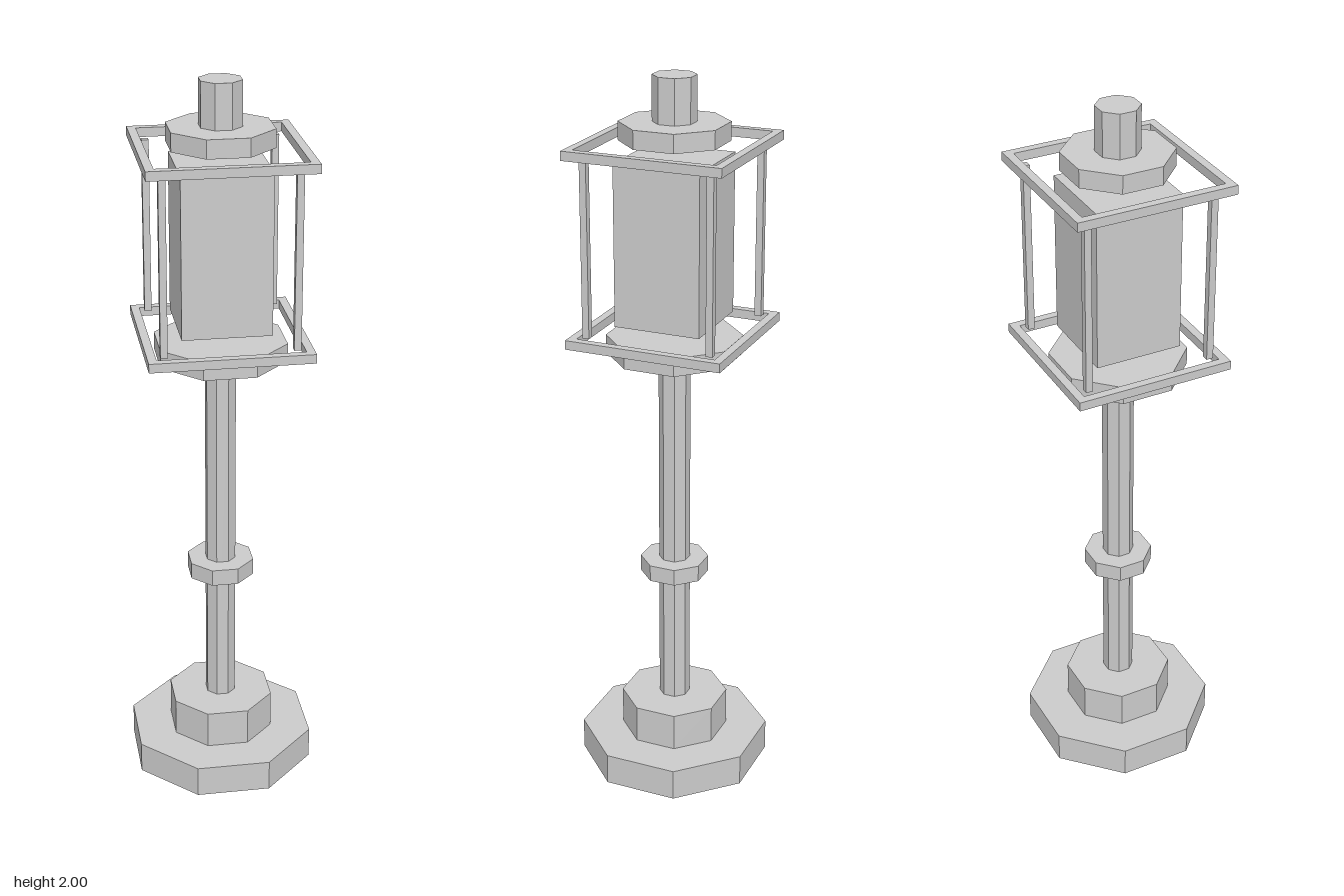
import * as THREE from 'three';

const material = new THREE.MeshStandardMaterial({ color: 0xcccccc, flatShading: true });

export function createModel() {
  const group = new THREE.Group();
  group.name = 'lampPost';

  function add(name, geometry, x, y, z) {
    const mesh = new THREE.Mesh(geometry, material);
    mesh.name = name;
    mesh.position.set(x, y, z);
    group.add(mesh);
  }

  // Octagonal prism with flat sides facing the axes; apothem = centre to flat side
  function octagon(name, apothem, y0, y1) {
    const r = apothem / Math.cos(Math.PI / 8);
    const geometry = new THREE.CylinderGeometry(r, r, y1 - y0, 8).rotateY(Math.PI / 8);
    add(name, geometry, 0, (y0 + y1) / 2, 0);
  }

  function square(Type, h) {
    return new Type([[-h, -h], [h, -h], [h, h], [-h, h]].map(([x, y]) => new THREE.Vector2(x, y)));
  }

  // Open square frame lying flat
  function frame(name, outer, inner, y0, y1) {
    const shape = square(THREE.Shape, outer);
    shape.holes.push(square(THREE.Path, inner));
    const geometry = new THREE.ExtrudeGeometry(shape, { depth: y1 - y0, bevelEnabled: false });
    add(name, geometry.rotateX(-Math.PI / 2), 0, y0, 0);
  }

  // Base and pole
  octagon('base', 0.248, 0, 0.09);
  octagon('plinth', 0.14, 0.09, 0.198);
  octagon('pole', 0.04, 0.198, 1.25);
  octagon('poleRing', 0.088, 0.59, 0.637);
  octagon('lanternCollar', 0.171, 1.25, 1.3);

  // Lantern cage around the lamp block
  frame('lowerFrame', 0.219, 0.196, 1.3, 1.325);
  frame('upperFrame', 0.219, 0.196, 1.805, 1.83);
  for (const x of [-0.175, 0.175]) {
    for (const z of [-0.175, 0.175]) {
      add('cagePost', new THREE.BoxGeometry(0.019, 0.48, 0.019), x, 1.565, z);
    }
  }
  add('lamp', new THREE.BoxGeometry(0.241, 0.44, 0.241), 0, 1.565, 0);

  // Cap and finial
  octagon('cap', 0.135, 1.83, 1.88);
  octagon('finial', 0.054, 1.88, 2);

  return group;
}
